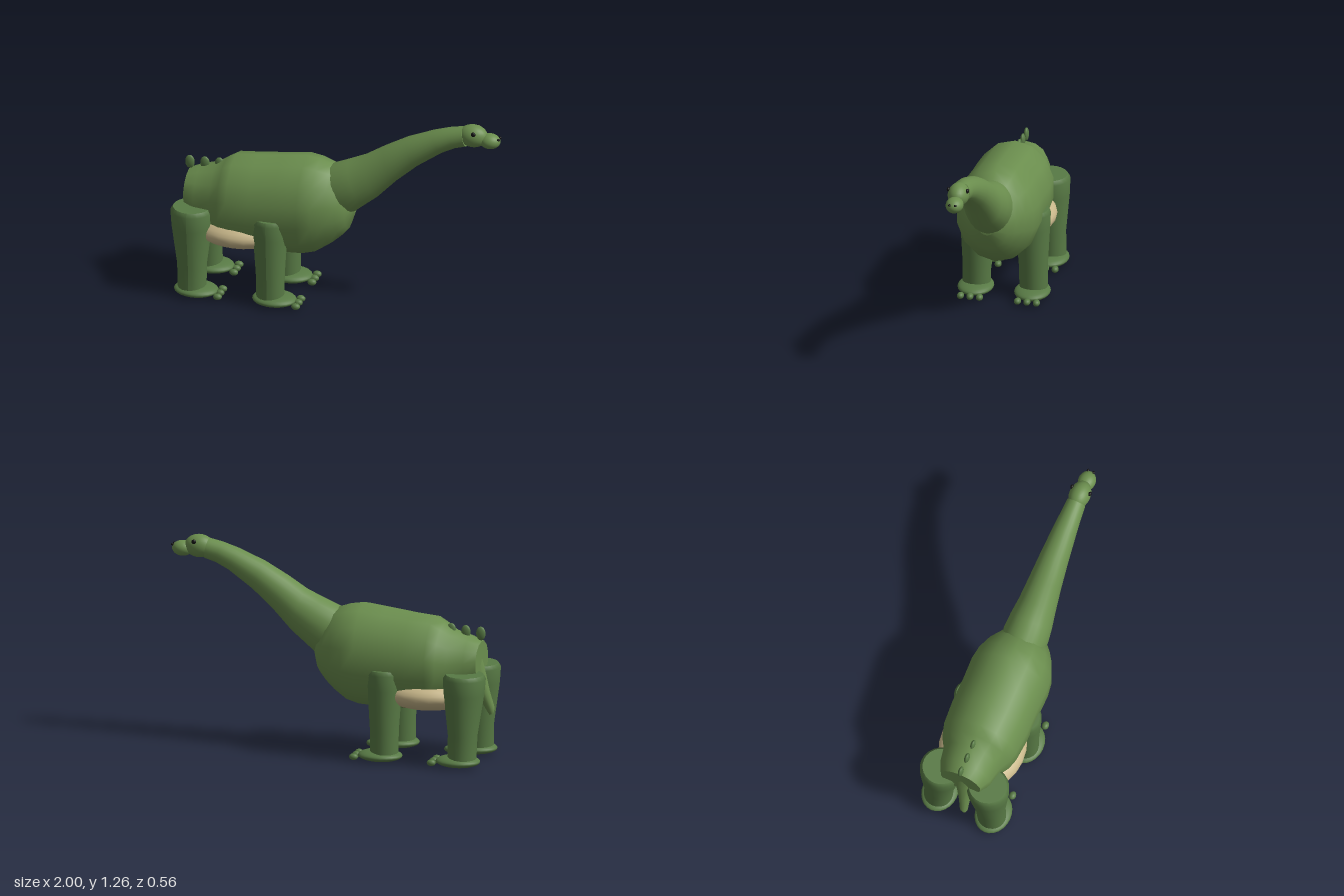
import * as THREE from 'three';

const mat = (color) => new THREE.MeshStandardMaterial({ color, side: THREE.DoubleSide });
const skin = mat(0x6b8e4e);
const legSkin = mat(0x587a45);
const bellySkin = mat(0xc8b78a);
const black = mat(0x111111);

// Skin over elliptical rings, each given as [topX, topY, bottomX, bottomY, halfWidth, z]
function loft(sections, sides) {
  const rings = [sections[0], ...sections, sections[sections.length - 1]];
  const pos = [], index = [];
  rings.forEach(([tx, ty, bx, by, w, z = 0], i) => {
    for (let j = 0; j < sides; j++) {
      const a = (j / sides) * Math.PI * 2, c = Math.cos(a) / 2;
      pos.push((tx + bx) / 2 + (tx - bx) * c, (ty + by) / 2 + (ty - by) * c, z + w * Math.sin(a));
      // The outermost rings are separate copies that carry the flat end caps
      if (i > 0 && i < rings.length - 2) {
        const k = (j + 1) % sides, p = i * sides, q = p + sides;
        if (i < rings.length - 2) index.push(p + j, p + k, q + j, q + j, p + k, q + k);
      }
    }
  });
  const last = (rings.length - 1) * sides;
  for (let j = 1; j < sides - 1; j++) {
    index.push(0, j + 1, j, last, last + j, last + j + 1);
  }
  const geo = new THREE.BufferGeometry();
  geo.setAttribute('position', new THREE.Float32BufferAttribute(pos, 3));
  geo.setIndex(index);
  geo.computeVertexNormals();
  return geo;
}

function add(parent, name, geo, material) {
  const mesh = new THREE.Mesh(geo, material);
  mesh.name = name;
  parent.add(mesh);
  return mesh;
}

function ellipsoid(parent, name, p, r, material) {
  const mesh = add(parent, name, new THREE.SphereGeometry(1, 24, 16), material);
  mesh.position.set(...p);
  mesh.scale.set(...r);
  return mesh;
}

// Tapered leg with a bevelled top, a flat foot and three toes
function makeLeg(name, x, z, footX, topR, lowR, side) {
  const leg = new THREE.Group();
  leg.name = name;
  const topY = 0.57, lowY = 0.04;
  const bevel = topR * 0.88;
  const profile = [[0, topY], [bevel, topY], [bevel, topY], [topR, 0.545], [topR * 0.95, 0.45], [lowR * 1.03, 0.2], [lowR, lowY]]
    .reverse().map(([r, y]) => new THREE.Vector2(r, y));
  const shaft = add(leg, 'legShaft', new THREE.LatheGeometry(profile, 24), legSkin);
  // Lean the shaft so it meets the foot
  const p = shaft.geometry.attributes.position;
  for (let i = 0; i < p.count; i++) {
    const t = (topY - p.getY(i)) / (topY - lowY);
    p.setX(i, p.getX(i) + x + (footX - 0.025 - x) * t);
    p.setZ(i, p.getZ(i) + side * (z + (0.174 - z) * t));
  }
  shaft.geometry.computeVertexNormals();
  ellipsoid(leg, 'foot', [footX, 0.04, side * 0.173], [0.135, 0.035, 0.108], legSkin);
  for (const dz of [-0.058, 0, 0.058]) {
    ellipsoid(leg, 'toe', [footX + 0.148, 0.032, side * 0.174 + dz], [0.027, 0.02, 0.021], legSkin);
  }
  return leg;
}

export function createModel() {
  const model = new THREE.Group();
  model.name = 'longNeckedDinosaur';

  // Body: x, top, bottom, half width
  const body = [
    [-0.93, 0.74, 0.5, 0.13], [-0.86, 0.77, 0.42, 0.165], [-0.76, 0.8, 0.34, 0.185],
    [-0.7, 0.84, 0.32, 0.222], [-0.64, 0.875, 0.305, 0.24], [-0.5, 0.887, 0.295, 0.25],
    [-0.35, 0.907, 0.29, 0.248], [-0.2, 0.925, 0.297, 0.252], [-0.12, 0.912, 0.32, 0.24],
    [-0.04, 0.885, 0.375, 0.205], [0.02, 0.83, 0.43, 0.165], [0.065, 0.77, 0.485, 0.125], [0.1, 0.68, 0.59, 0.05],
  ].map(([x, t, b, w]) => [x, t, x, b, w]);
  add(model, 'body', loft(body, 14), skin);
  ellipsoid(model, 'belly', [-0.6, 0.415, 0], [0.3, 0.108, 0.258], bellySkin);

  // Neck
  add(model, 'neck', loft([
    [-0.12, 0.84, 0.03, 0.55, 0.13], [-0.04, 0.888, 0.11, 0.61, 0.14], [0.06, 0.93, 0.17, 0.66, 0.132],
    [0.16, 0.975, 0.245, 0.72, 0.117], [0.28, 1.05, 0.36, 0.84, 0.102], [0.42, 1.127, 0.49, 0.955, 0.088],
    [0.58, 1.193, 0.64, 1.06, 0.073], [0.68, 1.225, 0.72, 1.1, 0.064], [0.765, 1.243, 0.79, 1.12, 0.058],
  ], 24), skin);

  // Tail
  add(model, 'tail', loft([
    [-0.92, 0.68, -0.78, 0.58, 0.09, 0], [-0.945, 0.56, -0.84, 0.51, 0.06, 0.015],
    [-0.97, 0.43, -0.9, 0.4, 0.037, 0.03], [-0.998, 0.325, -0.95, 0.305, 0.024, 0.042],
    [-0.99, 0.29, -0.965, 0.28, 0.012, 0.045],
  ], 12), skin);

  // Head
  const head = new THREE.Group();
  head.name = 'head';
  model.add(head);
  ellipsoid(head, 'skull', [0.828, 1.192, 0], [0.09, 0.07, 0.064], skin);
  ellipsoid(head, 'snout', [0.932, 1.17, 0], [0.064, 0.047, 0.053], skin);
  for (const side of [1, -1]) {
    ellipsoid(head, 'eye', [0.845, 1.227, side * 0.058], [0.014, 0.014, 0.01], black);
    ellipsoid(head, 'nostril', [0.99, 1.192, side * 0.018], [0.009, 0.007, 0.008], black);
  }

  // Spines along the rump
  for (const [x, y] of [[-0.925, 0.787], [-0.832, 0.79], [-0.742, 0.795]]) {
    ellipsoid(model, 'backSpine', [x, y, 0], [0.029, 0.042, 0.015], legSkin);
  }

  // Legs
  for (const [label, side] of [['left', -1], ['right', 1]]) {
    model.add(makeLeg(label + 'FrontLeg', -0.38, 0.168, -0.352, 0.108, 0.084, side));
    model.add(makeLeg(label + 'BackLeg', -0.87, 0.15, -0.836, 0.128, 0.086, side));
  }
  return model;
}
